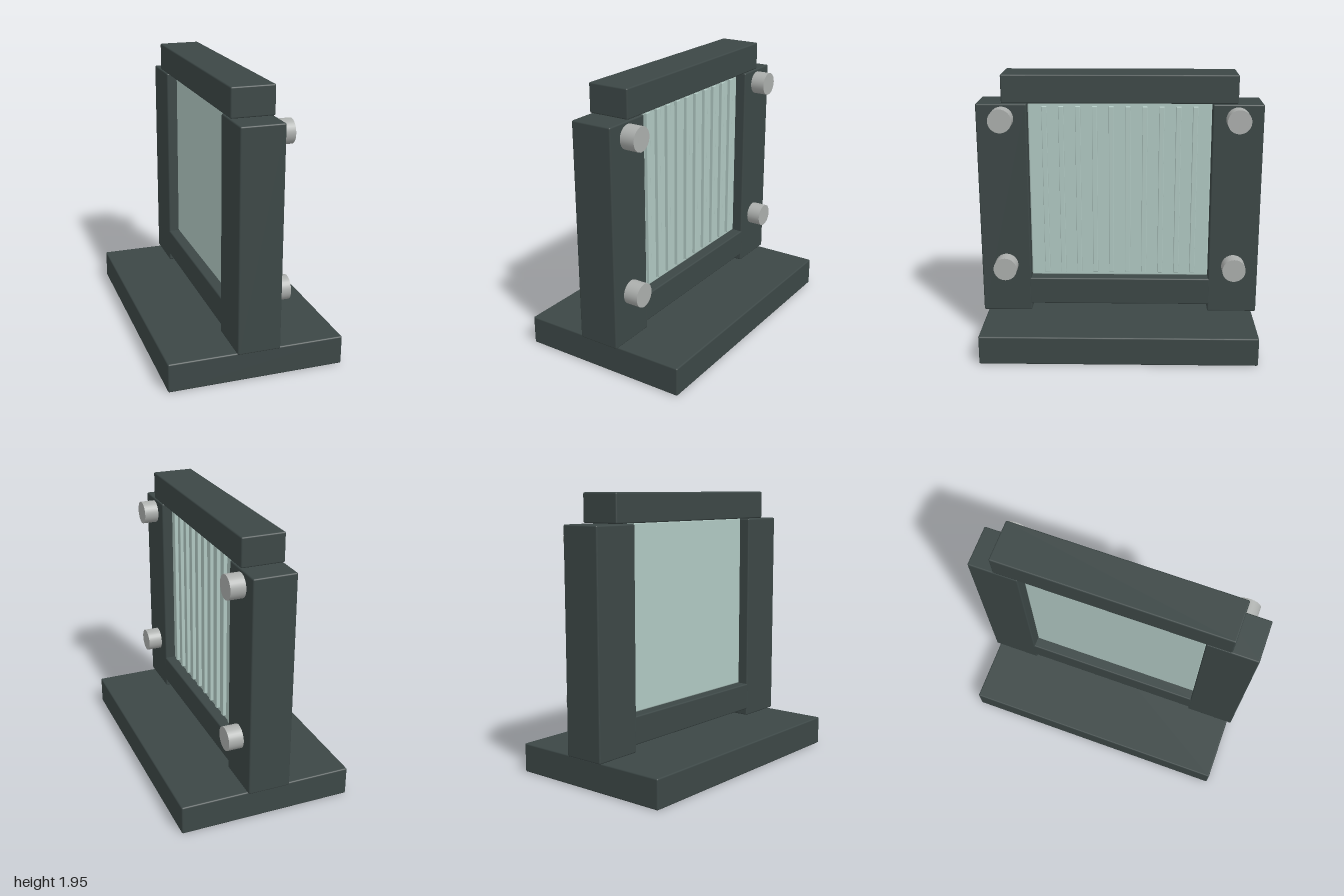
import * as THREE from 'three';
import { RoundedBoxGeometry } from 'three/addons/geometries/RoundedBoxGeometry.js';

export function createModel() {
  const model = new THREE.Group();
  const mat = (name, color) => {
    const m = new THREE.MeshStandardMaterial({ color });
    m.name = name;
    return m;
  };
  const frame = mat('dark slate', 0x3c4746);
  const glass = mat('pale green glass', 0xb0c8c2);
  const metal = mat('grey metal', 0xabaeac);

  // Box with slightly eased edges, given by its limits on each axis
  const block = (name, material, [x0, x1], [y0, y1], [z0, z1], r = 0.01) => {
    const mesh = new THREE.Mesh(new RoundedBoxGeometry(x1 - x0, y1 - y0, z1 - z0, 2, r), material);
    mesh.position.set((x0 + x1) / 2, (y0 + y1) / 2, (z0 + z1) / 2);
    mesh.name = name;
    model.add(mesh);
  };

  // Stand and frame
  const depth = [-0.15, 0.15];
  block('base', frame, [-0.615, 0.615], [0, 0.205], [-0.97, 0.97]);
  block('topBeam', frame, depth, [1.75, 1.95], [-0.82, 0.82]);
  block('lowerRail', frame, depth, [0.26, 0.46], [-0.66, 0.66]);
  block('frontPost', frame, depth, [0.208, 1.746], [0.645, 1]);
  block('backPost', frame, depth, [0.208, 1.746], [-1, -0.645]);

  // Panel with vertical ribs on its left face
  block('panel', glass, [-0.075, 0.075], [0.46, 1.75], [-0.645, 0.645]);
  for (let i = 0; i < 10; i++) {
    const z = (i - 4.5) * 0.1175;
    block('panelRib', glass, [0.06, 0.1], [0.49, 1.72], [z - 0.018, z + 0.018], 0.004);
  }

  // Round clamping knobs
  const knobGeometry = new THREE.CylinderGeometry(0.083, 0.083, 0.115, 32).rotateZ(-Math.PI / 2);
  for (const y of [0.565, 1.645]) {
    for (const z of [-0.82, 0.82]) {
      const knob = new THREE.Mesh(knobGeometry, metal);
      knob.position.set(0.1975, y, z);
      knob.name = 'knob';
      model.add(knob);
    }
  }
  return model;
}
